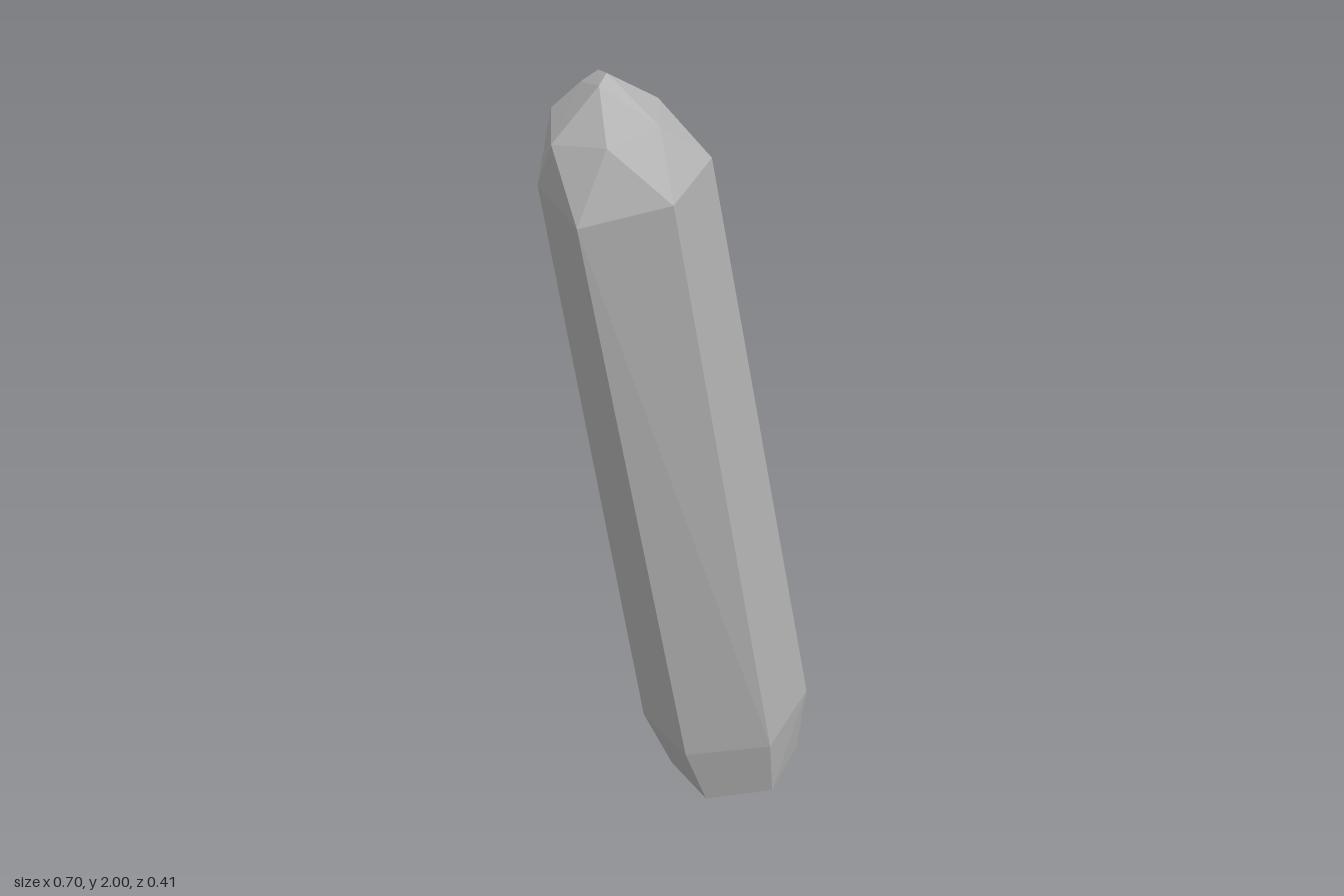
import * as THREE from 'three';
import { ConvexGeometry } from 'three/addons/geometries/ConvexGeometry.js';

// Leaning six-sided crystal: each ring runs round the shaft, the facets are the hull of the rings.
const base = [
  [0.035, 0, 0.06], [0.155, 0.03, 0.175], [0.3, 0.06, 0.115],
  [0.345, 0.065, -0.05], [0.22, 0.04, -0.155], [0.065, 0.01, -0.1],
];
const foot = [
  [-0.035, 0.17, 0.06], [0.115, 0.2, 0.205], [0.305, 0.245, 0.14],
  [0.347, 0.24, -0.06], [0.195, 0.2, -0.207], [0.005, 0.17, -0.14],
];
const shoulder = [
  [-0.35, 1.71, 0.055], [-0.19, 1.76, 0.187], [-0.02, 1.8, 0.125],
  [0.035, 1.79, -0.075], [-0.12, 1.76, -0.205], [-0.295, 1.73, -0.14],
];
// Corners where neighbouring tip facets meet
const crown = [
  [-0.275, 1.88, 0.07], [-0.145, 1.9, 0.095], [-0.06, 1.912, -0.005],
  [-0.1, 1.9, -0.135], [-0.235, 1.89, -0.16], [-0.32, 1.86, -0.06],
];
// Short ridge at the very top
const tip = [
  [-0.225, 1.985, -0.01], [-0.19, 2, -0.025], [-0.175, 1.99, -0.07], [-0.2, 1.96, -0.1],
];

export function createModel() {
  const group = new THREE.Group();
  group.name = 'crystalShard';

  const stone = new THREE.MeshStandardMaterial({ color: 0xb4b4b4 });
  stone.name = 'grey stone';

  const points = [base, foot, shoulder, crown, tip].flat().map((p) => new THREE.Vector3(...p));
  const crystal = new THREE.Mesh(new ConvexGeometry(points), stone);
  crystal.name = 'crystal';
  group.add(crystal);

  return group;
}
